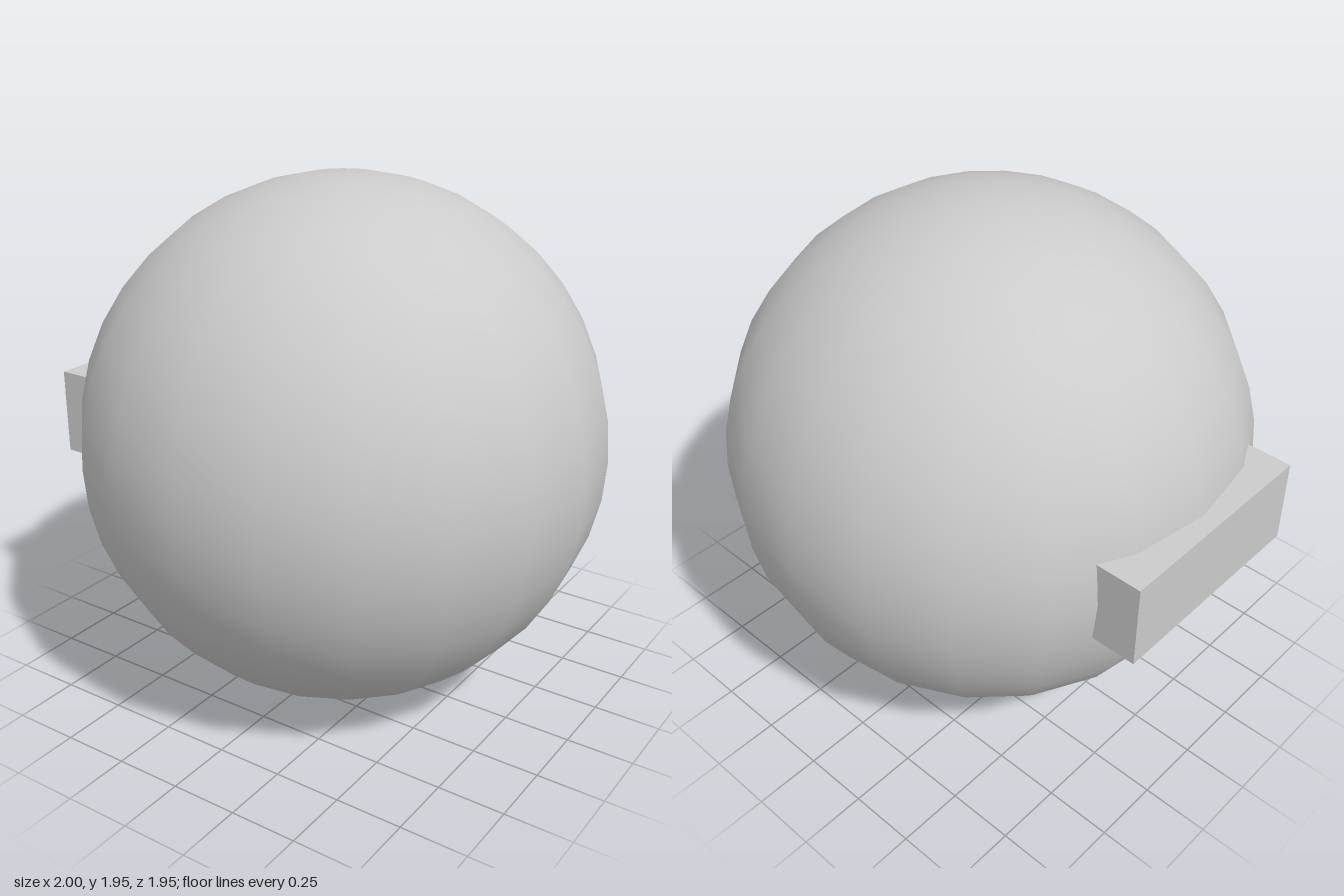
import * as THREE from 'three';

const RADIUS = 0.974;
const CENTRE = [0.022, 0.974, 0];

export function createModel() {
  const model = new THREE.Group();
  const material = new THREE.MeshStandardMaterial({ color: 0xcccccc });

  const add = (name, geometry, position) => {
    const mesh = new THREE.Mesh(geometry, material);
    mesh.name = name;
    mesh.position.set(...position);
    model.add(mesh);
  };

  // A band of the ball between two ring numbers (20 rings from top to bottom)
  const ballBand = (from, to) => new THREE.SphereGeometry(
    RADIUS, 20, to - from, 0, Math.PI * 2,
    (from * Math.PI) / 20, ((to - from) * Math.PI) / 20);

  // Ball, with its bottom cap as a part of its own
  add('ball', ballBand(0, 16), CENTRE);
  add('bottomCap', ballBand(16, 20), CENTRE);

  // Block set into the side of the ball
  add('sideBlock', new THREE.BoxGeometry(0.2, 0.325, 0.838), [-0.9, 0.98, -0.002]);

  return model;
}
